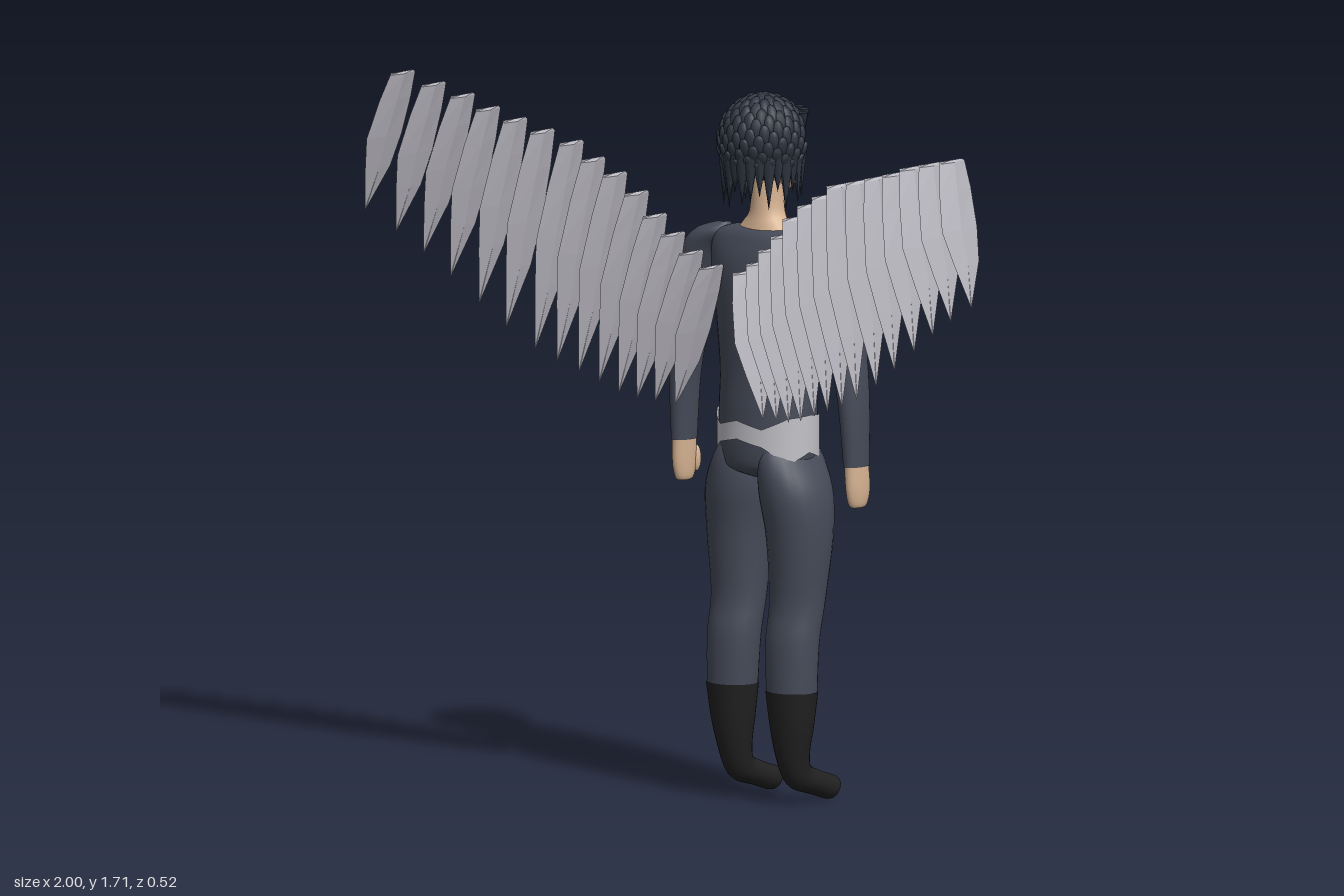
import * as THREE from 'three';

const flat = (color, side = THREE.FrontSide) => new THREE.MeshStandardMaterial({ color, side });

// Cubic blend between cross-section rows
function smoothRows(rows, n) {
  const out = [];
  for (let i = 0; i < rows.length - 1; i++) {
    const a = rows[Math.max(i - 1, 0)], b = rows[i], c = rows[i + 1], d = rows[Math.min(i + 2, rows.length - 1)];
    for (let k = 0; k < n; k++) {
      const t = k / n;
      out.push(b.map((v, j) => v + 0.5 * t * (c[j] - a[j] + t * (2 * a[j] - 5 * v + 4 * c[j] - d[j] + t * (3 * (v - c[j]) + d[j] - a[j])))));
    }
  }
  out.push(rows[rows.length - 1]);
  return out;
}

// Skin elliptical rings [x, y, z, rx, rz, tilt], listed from the bottom up
function loft(input, { seg = 24, steps = 5, side = 1, facets = false } = {}) {
  const rows = smoothRows(input.map(r => [r[0], r[1], r[2], r[3], r[4], r[5] || 0]), steps);
  const pos = [], idx = [];
  rows.forEach(([x, y, z, rx, rz, tilt], i) => {
    for (let j = 0; j < seg; j++) {
      const a = j / seg * Math.PI * 2, q = Math.sin(a) * Math.max(rz, 0.0005);
      pos.push(side * x + Math.cos(a) * Math.max(rx, 0.0005), y - q * Math.sin(tilt), z + q * Math.cos(tilt));
      if (i < rows.length - 1) {
        const A = i * seg + j, B = i * seg + (j + 1) % seg;
        idx.push(A, A + seg, B, B, A + seg, B + seg);
      }
    }
  });
  let g = new THREE.BufferGeometry();
  g.setAttribute('position', new THREE.Float32BufferAttribute(pos, 3));
  g.setIndex(idx);
  if (facets) g = g.toNonIndexed();
  g.computeVertexNormals();
  return g;
}

export function createModel() {
  const model = new THREE.Group();
  const mats = {
    suit: flat(0x464b59), skin: flat(0xd9b594), boot: flat(0x212121),
    hair: flat(0x2f3642, THREE.DoubleSide), feather: flat(0xb9b7bf), belt: flat(0xc3c2c8, THREE.DoubleSide),
    eyeWhite: flat(0xe8e4de), eyeDark: flat(0x2a2420), lips: flat(0xb98370),
  };
  for (const k in mats) mats[k].name = k;
  const add = (name, geo, mat, parent = model) => {
    const m = new THREE.Mesh(geo, mats[mat]);
    m.name = name;
    parent.add(m);
    return m;
  };
  const ball = (name, mat, p, s, parent) => {
    const m = add(name, new THREE.SphereGeometry(1, 16, 12), mat, parent);
    m.position.set(...p);
    m.scale.set(...s);
    return m;
  };

  // Torso
  add('torso', loft([
    [0, 0.79, -0.133, 0.03, 0.04], [0, 0.81, -0.133, 0.11, 0.085], [0, 0.84, -0.133, 0.130, 0.102],
    [0, 0.95, -0.133, 0.130, 0.103], [0, 1.05, -0.134, 0.129, 0.100], [0, 1.2, -0.131, 0.146, 0.098],
    [0, 1.3, -0.128, 0.165, 0.088], [0, 1.36, -0.127, 0.16, 0.068], [0, 1.385, -0.127, 0.11, 0.052], [0, 1.393, -0.127, 0.05, 0.03],
  ], { seg: 32 }), 'suit');

  // Belt with zigzag edges wrapped round the hips
  const top = [0.95, 0.945, 0.918, 0.935, 0.918, 0.945, 0.95, 0.945, 0.925, 0.895, 0.925, 0.945];
  const low = [0.86, 0.835, 0.875, 0.89, 0.875, 0.835, 0.86, 0.84, 0.865, 0.83, 0.865, 0.84];
  const bandPos = [], bandIdx = [], N = 48;
  for (let j = 0; j < N; j++) {
    const f = j / 4, i = Math.floor(f), a = j / N * Math.PI * 2;
    const at = e => e[i] + (e[(i + 1) % 12] - e[i]) * (f - i);
    for (const y of [at(low), at(top)]) bandPos.push(0.135 * Math.cos(a), y, -0.133 + 0.108 * Math.sin(a));
    const A = j * 2, B = (j + 1) % N * 2;
    bandIdx.push(A, A + 1, B, B, A + 1, B + 1);
  }
  const band = new THREE.BufferGeometry();
  band.setAttribute('position', new THREE.Float32BufferAttribute(bandPos, 3));
  band.setIndex(bandIdx);
  band.computeVertexNormals();
  add('belt', band, 'belt');

  // Limbs and wings, once per side
  for (const side of [1, -1]) {
    const tag = side > 0 ? 'right' : 'left';
    add(tag + 'Leg', loft([
      [0.098, 0.27, -0.112, 0.064, 0.057], [0.096, 0.4, -0.116, 0.069, 0.06], [0.096, 0.5, -0.133, 0.071, 0.063],
      [0.098, 0.65, -0.139, 0.08, 0.081], [0.088, 0.76, -0.136, 0.082, 0.096], [0.072, 0.84, -0.134, 0.06, 0.095], [0.06, 0.89, -0.133, 0.04, 0.07],
    ], { side }), 'suit');
    add(tag + 'Boot', loft([
      [0.095, 0.034, -0.259, 0.004, 0.004, 1.15], [0.095, 0.034, -0.256, 0.02, 0.021, 1.15], [0.095, 0.036, -0.246, 0.029, 0.03, 1.15],
      [0.095, 0.055, -0.19, 0.031, 0.031, 1.1], [0.095, 0.078, -0.138, 0.034, 0.037, 0.75],
      [0.095, 0.13, -0.118, 0.042, 0.041, 0.15], [0.097, 0.2, -0.113, 0.056, 0.05], [0.098, 0.285, -0.112, 0.067, 0.059],
    ], { side }), 'boot');
    add(tag + 'Arm', loft([
      [0.284, 0.845, -0.14, 0.025, 0.037], [0.278, 1.0, -0.137, 0.031, 0.045], [0.258, 1.13, -0.135, 0.04, 0.053],
      [0.235, 1.24, -0.133, 0.048, 0.058], [0.207, 1.32, -0.131, 0.054, 0.058], [0.17, 1.365, -0.129, 0.05, 0.047], [0.14, 1.388, -0.127, 0.012, 0.012],
    ], { side }), 'suit');
    add(tag + 'Hand', loft([
      [0.286, 0.744, -0.143, 0.004, 0.008], [0.286, 0.75, -0.143, 0.015, 0.026], [0.286, 0.79, -0.143, 0.021, 0.036], [0.284, 0.855, -0.14, 0.023, 0.034],
    ], { side }), 'skin');
    ball(tag + 'Thumb', 'skin', [side * 0.275, 0.795, -0.172], [0.011, 0.032, 0.012]);

    // Feathers: [top x, top y, tip x, tip y]
    const wing = new THREE.Group();
    wing.name = tag + 'Wing';
    model.add(wing);
    [[0.905, 1.695, 1.0, 1.355], [0.82, 1.675, 0.915, 1.31], [0.74, 1.655, 0.84, 1.265], [0.67, 1.63, 0.765, 1.215],
      [0.595, 1.61, 0.685, 1.16], [0.52, 1.59, 0.61, 1.11], [0.44, 1.57, 0.53, 1.065], [0.38, 1.535, 0.47, 1.04], [0.32, 1.505, 0.41, 1.02],
      [0.26, 1.465, 0.355, 1.0], [0.21, 1.415, 0.3, 0.98], [0.16, 1.375, 0.25, 0.97], [0.11, 1.335, 0.2, 0.967], [0.055, 1.305, 0.145, 0.963],
    ].forEach(([x1, y1, x0, y0]) => {
      const c = 0.009 + 0.205 * x1;
      const rows = [[0, 0.015, 0.001, 0.001], [0.3, 0.002, 0.005, 0.043], [0.53, 0.003, 0.007, 0.06], [0.8, -0.008, 0.008, 0.054], [0.985, -0.016, 0.008, 0.043], [1, -0.012, 0.001, 0.038]]
        .map(([t, dz, rx, rz]) => [x0 + (x1 - x0) * t, y0 + (y1 - y0) * t, c + dz, rx, rz]);
      add('feather', loft(rows, { seg: 4, steps: 1, side, facets: true }), 'feather', wing);
    });
  }

  // Neck and head
  add('neck', loft([
    [0, 1.375, -0.127, 0.095, 0.05], [0, 1.4, -0.127, 0.066, 0.043], [0, 1.44, -0.13, 0.042, 0.04], [0, 1.54, -0.13, 0.04, 0.04],
  ]), 'skin');
  const head = new THREE.Group();
  head.name = 'head';
  model.add(head);
  add('face', loft([
    [0, 1.474, -0.175, 0.008, 0.008], [0, 1.482, -0.172, 0.03, 0.033], [0, 1.505, -0.158, 0.05, 0.056], [0, 1.54, -0.144, 0.067, 0.073],
    [0, 1.59, -0.137, 0.076, 0.08], [0, 1.64, -0.134, 0.074, 0.078], [0, 1.69, -0.13, 0.02, 0.02],
  ]), 'skin', head);
  const nose = add('nose', new THREE.ConeGeometry(0.014, 0.05, 10), 'skin', head);
  nose.position.set(0, 1.577, -0.222);
  nose.rotation.x = 0.3;
  ball('noseTip', 'skin', [0, 1.562, -0.226], [0.012, 0.01, 0.013], head);
  ball('lips', 'lips', [0, 1.528, -0.212], [0.021, 0.006, 0.007], head);
  for (const s of [1, -1]) {
    ball('eyeWhite', 'eyeWhite', [s * 0.032, 1.592, -0.208], [0.014, 0.007, 0.005], head);
    ball('iris', 'eyeDark', [s * 0.032, 1.592, -0.212], [0.006, 0.006, 0.003], head);
    ball('eyebrow', 'hair', [s * 0.033, 1.61, -0.209], [0.019, 0.004, 0.006], head).rotation.z = -s * 0.12;
  }

  // Hair: cap open at the face, covered in overlapping tufts
  const hair = new THREE.Group();
  hair.name = 'hair';
  head.add(hair);
  const centre = new THREE.Vector3(0, 1.6, -0.115), radii = new THREE.Vector3(0.098, 0.104, 0.102);
  for (const args of [[0, Math.PI * 2, 0, 1.15], [Math.PI * 1.5 + 0.95, Math.PI * 2 - 1.9, 1.1, 1.1]]) {
    const cap = add('hairCap', new THREE.SphereGeometry(1, 28, 14, ...args), 'hair', hair);
    cap.position.copy(centre);
    cap.scale.copy(radii);
  }
  const tuftGeo = new THREE.SphereGeometry(1, 8, 6);
  const placeTuft = (geo, p, normal, down, scale) => {
    const m = add('tuft', geo, 'hair', hair), up = down.clone().negate();
    m.quaternion.setFromRotationMatrix(new THREE.Matrix4().makeBasis(up.clone().cross(normal), up, normal));
    m.position.copy(p);
    m.scale.set(...scale);
  };
  for (let i = 0; i < 190; i++) {
    const y = 1 - 2 * (i + 0.5) / 190, r = Math.sqrt(1 - y * y), a = i * 2.39996;
    const n = new THREE.Vector3(r * Math.cos(a), y, r * Math.sin(a));
    if (y < -0.72 || (n.z < -0.5 * r && y < 0.42)) continue;
    const down = new THREE.Vector3(0, -1, 0.001).addScaledVector(n, y).normalize();
    const out = n.clone().addScaledVector(down, 0.25).normalize();
    const lie = down.clone().addScaledVector(out, -down.dot(out)).normalize();
    placeTuft(tuftGeo, n.clone().multiply(radii).add(centre), out, lie, [0.015, 0.027, 0.01]);
  }
  // Hanging locks round the sides and back
  const lockGeo = new THREE.ConeGeometry(1, 1, 6).rotateX(Math.PI);
  for (let i = 0; i < 19; i++) {
    const a = -0.55 + i / 18 * (Math.PI + 1.1), len = 0.11 + 0.025 * Math.sin(i * 2.7);
    const n = new THREE.Vector3(Math.cos(a), 0, Math.sin(a));
    const p = new THREE.Vector3(0.091 * n.x, 1.575 - len / 2, -0.115 + 0.096 * n.z);
    placeTuft(lockGeo, p, n, new THREE.Vector3(0, -1, 0), [0.021, len, 0.013]);
  }
  // Fringe over the forehead
  for (let i = 0; i < 9; i++) {
    const a = -Math.PI / 2 + (i - 4) * 0.24, n = new THREE.Vector3(Math.cos(a), 0, Math.sin(a));
    const p = new THREE.Vector3(0.09 * n.x, 1.64, -0.115 + 0.106 * n.z);
    placeTuft(lockGeo, p, n, new THREE.Vector3(0, -1, 0), [0.017, 0.055 + 0.012 * (i % 2), 0.012]);
  }
  return model;
}
